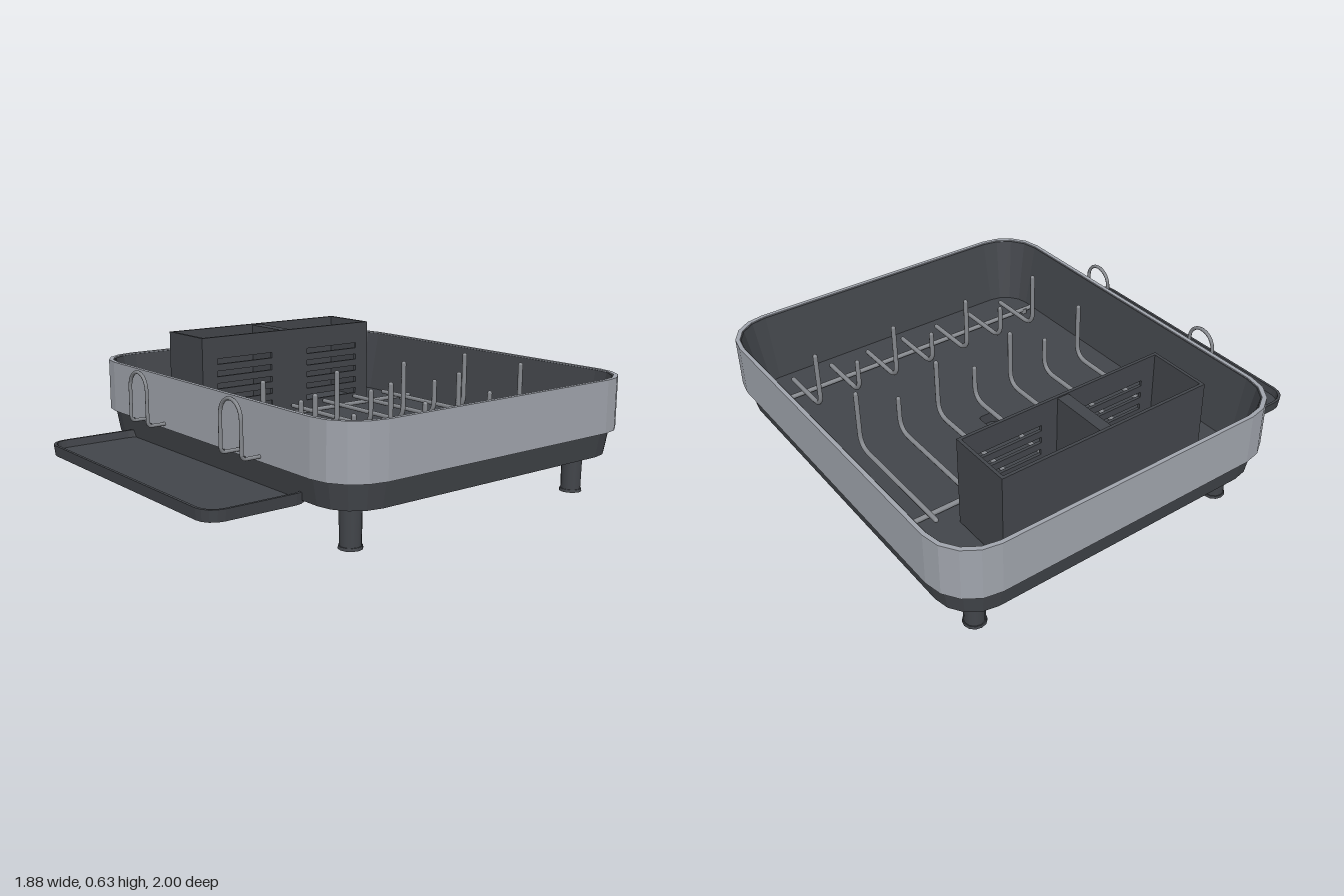
import * as THREE from 'three';

const dark = new THREE.MeshStandardMaterial({ name: 'charcoalPlastic', color: 0x42454a });
const steel = new THREE.MeshStandardMaterial({ name: 'brushedSteel', color: 0xa0a4ac });
const wireMat = new THREE.MeshStandardMaterial({ name: 'greyWire', color: 0x85888d });

const BODY_Z = -0.19;

// Outline of a rounded rectangle, as [x, z] corners
function outline(hx, hz, r, seg) {
  const pts = [];
  for (let q = 0; q < 4; q++) {
    const sx = q === 0 || q === 3 ? 1 : -1;
    const sz = q < 2 ? 1 : -1;
    for (let i = 0; i <= seg; i++) {
      const a = (q + i / seg) * Math.PI / 2;
      pts.push([sx * (hx - r) + r * Math.cos(a), sz * (hz - r) + r * Math.sin(a)]);
    }
  }
  return pts;
}

// Skin through rounded rectangles [halfX, halfZ, radius, y], from the outside bottom
// up over the rim and down inside; caps close the first and last rings.
function loft(rings, capped = true, seg = 4) {
  const n = 4 * (seg + 1);
  const pos = [];
  const idx = [];
  for (const [hx, hz, r, y] of rings) {
    for (const [x, z] of outline(hx, hz, r, seg)) pos.push(x, y, z);
  }
  for (let k = 0; k < rings.length - 1; k++) {
    for (let i = 0; i < n; i++) {
      const j = (i + 1) % n;
      const a = k * n + i, b = k * n + j, c = a + n, d = b + n;
      idx.push(a, c, b, b, c, d);
    }
  }
  if (capped) {
    const last = (rings.length - 1) * n;
    for (let i = 1; i < n - 1; i++) {
      idx.push(0, i, i + 1);
      idx.push(last, last + i + 1, last + i);
    }
  }
  const g = new THREE.BufferGeometry();
  g.setAttribute('position', new THREE.Float32BufferAttribute(pos, 3));
  g.setIndex(idx);
  const flat = g.toNonIndexed();
  flat.computeVertexNormals();
  return flat;
}

function add(parent, name, geo, mat, x = 0, y = 0, z = 0) {
  const m = new THREE.Mesh(geo, mat);
  m.name = name;
  m.position.set(x, y, z);
  parent.add(m);
  return m;
}

function box(parent, name, x0, x1, y0, y1, z0, z1) {
  return add(parent, name, new THREE.BoxGeometry(x1 - x0, y1 - y0, z1 - z0), dark,
    (x0 + x1) / 2, (y0 + y1) / 2, (z0 + z1) / 2);
}

// Bent rod: straight runs joined by rounded bends, with rounded tips
function rod(parent, name, pts, radius, bend, mat) {
  const v = pts.map((p) => new THREE.Vector3(...p));
  const path = new THREE.CurvePath();
  let from = v[0];
  for (let i = 1; i < v.length - 1; i++) {
    const a = v[i].clone().add(v[i - 1].clone().sub(v[i]).setLength(bend));
    const b = v[i].clone().add(v[i + 1].clone().sub(v[i]).setLength(bend));
    path.add(new THREE.LineCurve3(from, a));
    path.add(new THREE.QuadraticBezierCurve3(a, v[i], b));
    from = b;
  }
  path.add(new THREE.LineCurve3(from, v[v.length - 1]));
  add(parent, name, new THREE.TubeGeometry(path, v.length > 2 ? 48 : 1, radius, 8), mat);
  for (const p of [v[0], v[v.length - 1]]) {
    add(parent, name + 'Tip', new THREE.SphereGeometry(radius, 8, 6), mat, p.x, p.y, p.z);
  }
}

function buildCaddy() {
  const g = new THREE.Group();
  g.name = 'cutleryCaddy';
  const x0 = -0.77, x1 = -0.48, z0 = -0.68, z1 = 0.305, y0 = 0.225, y1 = 0.63, t = 0.014;
  box(g, 'caddyFloor', x0, x1, y0, y0 + t, z0, z1);
  box(g, 'caddyOuterWall', x0, x0 + t, y0, y1, z0, z1);
  box(g, 'caddyBackWall', x0 + t, x1 - t, y0, y1, z0, z0 + t);
  box(g, 'caddyFrontWall', x0 + t, x1 - t, y0, y1, z1 - t, z1);
  box(g, 'caddyDivider', x0 + t, x1 - t, y0, y1 - 0.005, -0.217, -0.163);

  // Slotted wall facing the plates; shape x runs along -z
  const s = new THREE.Shape();
  s.moveTo(-z1, y0);
  s.lineTo(-z0, y0);
  s.lineTo(-z0, y1);
  s.lineTo(-z1, y1);
  s.closePath();
  for (const zc of [0.07, -0.45]) {
    for (let i = 0; i < 5; i++) {
      const y = 0.27 + i * 0.058, a = -zc - 0.155, b = -zc + 0.155;
      const h = new THREE.Path();
      h.moveTo(a, y);
      h.lineTo(a, y + 0.026);
      h.lineTo(b, y + 0.026);
      h.lineTo(b, y);
      h.closePath();
      s.holes.push(h);
    }
  }
  const wall = new THREE.ExtrudeGeometry(s, { depth: t, bevelEnabled: false });
  wall.rotateY(Math.PI / 2);
  add(g, 'caddySlottedWall', wall, dark, x1 - t, 0, 0);
  return g;
}

function buildRack() {
  const g = new THREE.Group();
  g.name = 'plateRack';
  for (const x of [-0.39, 0.655]) {
    rod(g, 'rackRail', [[x, 0.24, -0.89], [x, 0.24, 0.51]], 0.011, 0, wireMat);
    for (const z of [-0.85, 0.47]) {
      add(g, 'rackFoot', new THREE.CylinderGeometry(0.014, 0.014, 0.03, 8), wireMat, x, 0.23, z);
    }
  }
  // Alternating tall and short prongs on both sides of the plate gap
  for (let i = 0; i < 7; i++) {
    const z = -0.77 + i * 0.194;
    const top = i % 2 === 0 ? 0.525 : 0.42;
    rod(g, 'longProng', [[-0.45, 0.26, z], [0.13, 0.26, z], [0.13, top, z]], 0.011, 0.07, wireMat);
    rod(g, 'shortProng', [[0.75, 0.26, z], [0.48, 0.26, z], [0.48, top, z]], 0.011, 0.07, wireMat);
  }
  return g;
}

// Arched hook hanging in front of the band
function buildHook(x) {
  const g = new THREE.Group();
  g.name = 'glassHook';
  const pts = [];
  const z = 0.703, w = 0.072;
  pts.push([-w, 0.31, 0.615], [-w, 0.31, z - 0.012], [-w, 0.322, z], [-w, 0.40, z]);
  for (let i = 0; i <= 10; i++) {
    const a = Math.PI * (1 - i / 10);
    pts.push([w * Math.cos(a), 0.463 + w * Math.sin(a), z]);
  }
  pts.push([w, 0.40, z], [w, 0.322, z], [w, 0.31, z - 0.012], [w, 0.31, 0.615]);
  const path = new THREE.CurvePath();
  for (let i = 1; i < pts.length; i++) {
    path.add(new THREE.LineCurve3(new THREE.Vector3(...pts[i - 1]), new THREE.Vector3(...pts[i])));
  }
  add(g, 'hookWire', new THREE.TubeGeometry(path, 90, 0.008, 8), wireMat);
  g.position.x = x;
  return g;
}

export function createModel() {
  const model = new THREE.Group();
  model.name = 'dishRack';

  // Basin with a drain well in its floor
  add(model, 'basin', loft([
    [0.06, 0.065, 0.02, 0.16], [0.06, 0.065, 0.02, 0.18],
    [0.9, 0.77, 0.17, 0.18], [0.92, 0.79, 0.19, 0.295],
    [0.926, 0.796, 0.19, 0.515], [0.918, 0.788, 0.185, 0.515],
    [0.86, 0.73, 0.13, 0.22], [0.045, 0.04, 0.015, 0.22], [0.045, 0.04, 0.015, 0.17],
  ]), dark, 0, 0, BODY_Z);

  // Steel band around the basin
  add(model, 'steelBand', loft([
    [0.915, 0.785, 0.185, 0.29], [0.94, 0.81, 0.2, 0.29],
    [0.94, 0.81, 0.2, 0.52], [0.922, 0.792, 0.187, 0.52], [0.922, 0.792, 0.187, 0.5],
  ], false), steel, 0, 0, BODY_Z);

  // Sliding drip tray at the front
  add(model, 'dripTray', loft([
    [0.645, 0.23, 0.075, 0.167], [0.652, 0.235, 0.08, 0.215],
    [0.64, 0.223, 0.07, 0.215], [0.636, 0.219, 0.068, 0.182],
  ]), dark, 0, 0, 0.765);

  // Swivel spout, sloping down to the front
  const spout = add(model, 'swivelSpout', loft([
    [0.11, 0.533, 0.109, -0.02], [0.114, 0.535, 0.113, 0.02],
    [0.102, 0.523, 0.101, 0.02], [0.1, 0.521, 0.099, -0.008],
  ], true, 8), dark, 0, 0.131, 0.215);
  spout.rotation.x = 0.037;

  // Feet
  for (const x of [-0.76, 0.76]) {
    for (const z of [0.445, -0.81]) {
      const foot = new THREE.Group();
      foot.name = 'foot';
      add(foot, 'footPost', new THREE.CylinderGeometry(0.046, 0.043, 0.19, 12), dark, 0, 0.1, 0);
      add(foot, 'footPad', new THREE.CylinderGeometry(0.047, 0.049, 0.012, 12), dark, 0, 0.006, 0);
      foot.position.set(x, 0, z);
      model.add(foot);
    }
  }

  model.add(buildCaddy(), buildRack(), buildHook(-0.36), buildHook(0.355));
  return model;
}
